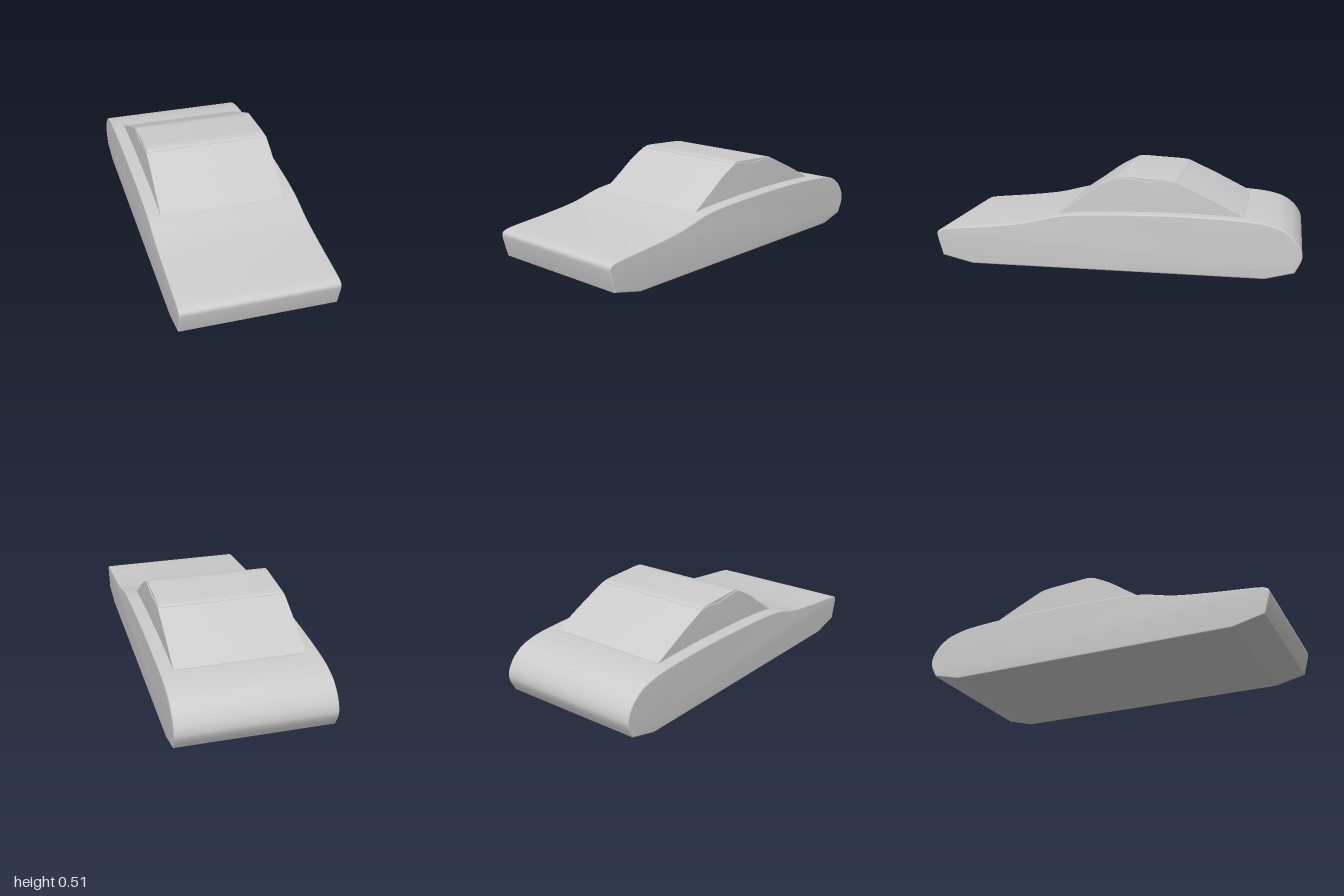
import * as THREE from 'three';
import { toCreasedNormals } from 'three/addons/utils/BufferGeometryUtils.js';

const material = new THREE.MeshStandardMaterial({ color: 0xcccccc });
const toShape = ([z, y]) => new THREE.Vector2(-z, y);

// Side outline: runs are [z, y] lists, straight or smooth, joined in order.
function outline(...runs) {
  const shape = new THREE.Shape();
  runs.forEach(({ points, smooth }, i) => {
    const p = points.map(toShape);
    if (i === 0) shape.moveTo(p[0].x, p[0].y);
    else shape.lineTo(p[0].x, p[0].y);
    if (smooth) shape.splineThru(p.slice(1));
    else p.slice(1).forEach((v) => shape.lineTo(v.x, v.y));
  });
  return shape;
}

// Extrude a side outline across the car, with slightly rounded side edges.
function part(name, shape, halfWidth, bevel) {
  const geometry = new THREE.ExtrudeGeometry(shape, {
    depth: 2 * (halfWidth - bevel),
    curveSegments: 8,
    bevelEnabled: bevel > 0,
    bevelThickness: bevel,
    bevelSize: bevel,
    bevelOffset: -bevel,
    bevelSegments: 8,
  });
  geometry.translate(0, 0, -(halfWidth - bevel));
  geometry.rotateY(Math.PI / 2);
  const mesh = new THREE.Mesh(toCreasedNormals(geometry, 0.215), material);
  mesh.name = name;
  return mesh;
}

export function createModel() {
  const group = new THREE.Group();
  group.name = 'car';

  // Lower body: flat floor with chamfered ends, rounded tail, sloping bonnet
  group.add(part('body', outline(
    { points: [[0.8, 0], [-0.81, 0], [-0.963, 0.04]] },
    {
      smooth: true,
      points: [[-0.963, 0.04], [-0.992, 0.095], [-1, 0.135], [-0.985, 0.185], [-0.94, 0.24],
        [-0.86, 0.284], [-0.7, 0.31], [-0.35, 0.321], [0.05, 0.313], [0.3, 0.294],
        [0.5, 0.247], [0.7, 0.22], [0.93, 0.197], [0.985, 0.184], [1, 0.168], [0.998, 0.14]],
    },
    { points: [[0.998, 0.14], [0.97, 0.04]] },
  ), 0.424, 0.008));

  // Cabin: windscreen and rear slope, with a dip below the roof
  group.add(part('cabin', outline(
    { points: [[0.326, 0.22], [-0.69, 0.22], [-0.69, 0.313]] },
    { smooth: true, points: [[-0.69, 0.313], [-0.5, 0.408], [-0.33, 0.486]] },
    {
      smooth: true,
      points: [[-0.33, 0.486], [-0.26, 0.49], [-0.17, 0.483], [-0.09, 0.496], [0, 0.5]],
    },
    { smooth: true, points: [[0, 0.5], [0.1, 0.446], [0.2, 0.376], [0.326, 0.289]] },
  ), 0.353, 0.002));

  // Roof panel, slightly narrower than the cabin
  group.add(part('roof', outline(
    { points: [[0, 0.47], [-0.33, 0.46], [-0.33, 0.488]] },
    {
      smooth: true,
      points: [[-0.33, 0.488], [-0.29, 0.497], [-0.15, 0.505], [-0.04, 0.51], [0, 0.502]],
    },
  ), 0.348, 0.004));

  return group;
}
